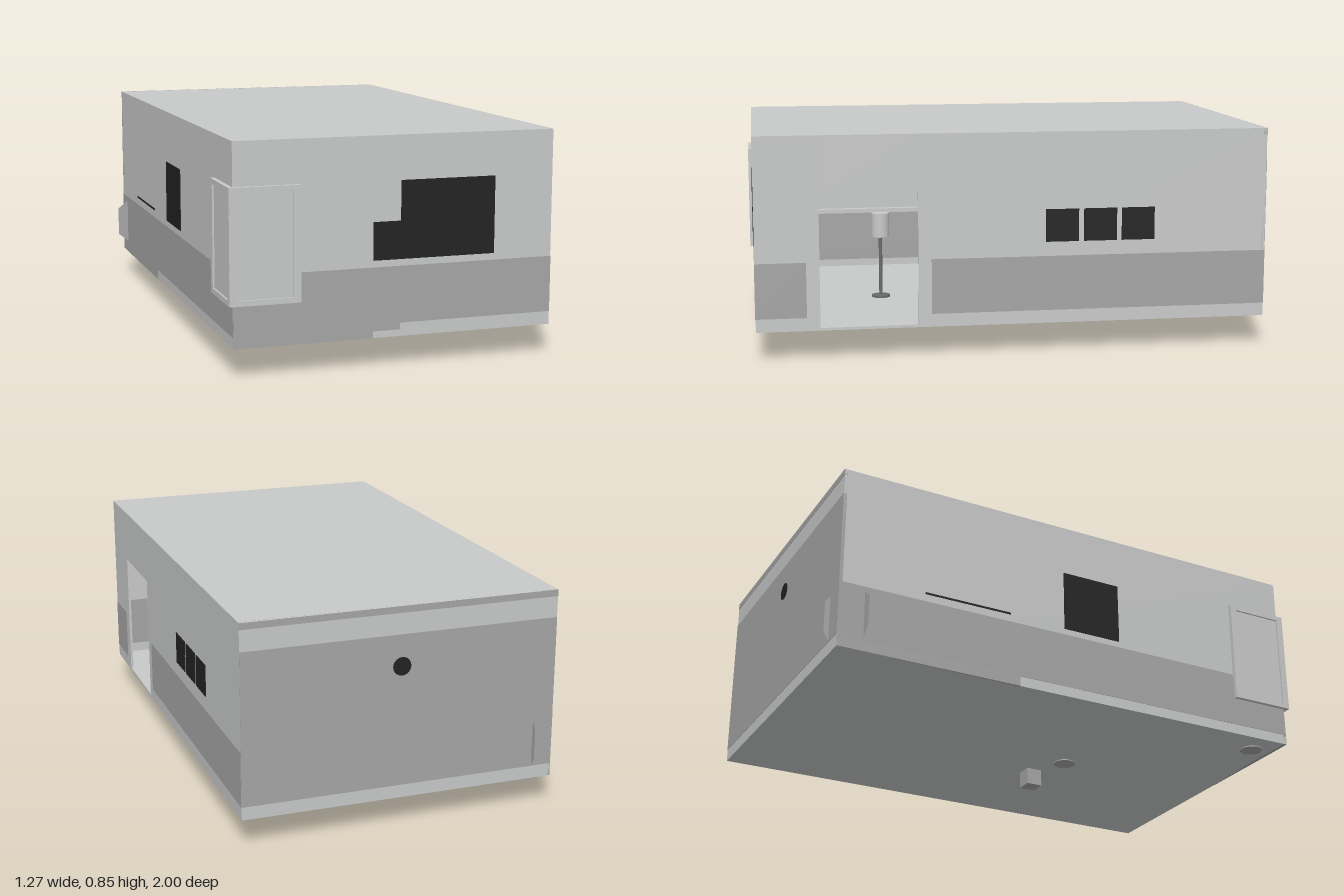
import * as THREE from 'three';

const flat = (name, color) => {
  const m = new THREE.MeshStandardMaterial({ color });
  m.name = name;
  return m;
};

export function createModel() {
  const root = new THREE.Group();
  root.name = 'room';
  const light = flat('light wall', 0xc8cac9);
  const band = flat('grey band', 0xa6a6a6);
  const black = flat('black', 0x222222);
  const dark = flat('dark grey', 0x6a6c6b);
  const fin = flat('bracket grey', 0xa6a6a6);
  fin.side = THREE.DoubleSide;

  const add = (name, geo, mat, x = 0, y = 0, z = 0, parent = root) => {
    const m = new THREE.Mesh(geo, mat);
    m.name = name;
    m.position.set(x, y, z);
    parent.add(m);
    return m;
  };
  // Box given by its limits on each axis
  const box = (name, mat, x0, x1, y0, y1, z0, z1, parent) =>
    add(name, new THREE.BoxGeometry(x1 - x0, y1 - y0, z1 - z0), mat,
      (x0 + x1) / 2, (y0 + y1) / 2, (z0 + z1) / 2, parent);

  const L = -0.59, R = 0.63, F = 0.98, B = -0.98, Y0 = 0.115, Y1 = 0.85, T = 0.01, E = 0.0015;

  // Floor, roof and walls, with a doorway in the right-hand wall
  box('floor', light, L, R, Y0, Y0 + T, B, F);
  box('roof', light, L, R, Y1 - T, Y1, B, F);
  box('frontWall', light, L, R, Y0, Y1, F - T, F);
  box('backWall', light, L, R, Y0, Y1, B, B + T);
  box('leftWall', light, L, L + T, Y0, Y1, B, F);
  box('doorWallFront', light, R - T, R, Y0, Y1, 0.74, F);
  box('doorWallBack', light, R - T, R, Y0, Y1, B, 0.37);
  box('doorLintel', light, R - T, R, 0.635, Y1, 0.37, 0.74);

  // Painted bands, showing on both faces of each wall
  const frontBand = (a, b, y0, y1) => box('frontBand', band, a, b, y0, y1, F - T - E, F + E);
  frontBand(L, R, 0.165, 0.375);
  frontBand(L, 0.035, 0.14, 0.165);
  frontBand(L, -0.07, Y0, 0.14);
  const backBand = (y0, y1) => box('backBand', band, L, R, y0, y1, B - E, B + T + E);
  backBand(0.165, 0.745);
  backBand(0.825, Y1);
  box('leftBand', band, L - E, L + T + E, 0.155, 0.375, B, F);
  box('leftBandLow', band, L - E, L + T, Y0, 0.155, B, -0.245);
  box('rightBandFront', band, R - T - E, R + E, 0.165, 0.375, 0.79, F);
  box('rightBandBack', band, R - T - E, R + E, 0.165, 0.375, B, 0.32);

  // Black windows
  box('frontWindow', black, 0.035, 0.4, 0.4, 0.687, F - T - 0.003, F + 0.003);
  box('frontWindowStep', black, -0.07, 0.035, 0.4, 0.54, F - T - 0.003, F + 0.003);
  box('windowInnerPane', light, -0.05, 0.38, 0.42, 0.53, F - T - 0.006, F - T);
  box('windowInnerPaneTop', light, 0.055, 0.38, 0.53, 0.667, F - T - 0.006, F - T);
  for (const z of [-0.18, -0.328, -0.475])
    box('sideWindow', black, R - T - 0.003, R + 0.003, 0.43, 0.555, z - 0.064, z + 0.064);
  box('leftWindow', black, L - 0.003, L + T + 0.003, 0.4, 0.645, -0.05, 0.195);
  box('leftSlit', black, L - 0.003, L, 0.405, 0.412, -0.64, -0.285);
  const port = add('backPorthole', new THREE.CylinderGeometry(0.035, 0.035, 0.016, 20), black, 0.024, 0.625, B + 0.005);
  port.rotation.x = Math.PI / 2;

  // Framed boards meeting at the front left corner
  const board = (name) => {
    const g = new THREE.Group();
    g.name = name;
    root.add(g);
    const s = new THREE.Shape([[-0.13, 0.27], [0.13, 0.27], [0.13, 0.69], [-0.13, 0.69]].map(p => new THREE.Vector2(...p)));
    s.holes.push(new THREE.Path([[-0.103, 0.29], [-0.103, 0.67], [0.103, 0.67], [0.103, 0.29]].map(p => new THREE.Vector2(...p))));
    add('boardFrame', new THREE.ExtrudeGeometry(s, { depth: 0.017, bevelEnabled: false }), light, 0, 0, 0, g);
    box('boardPanel', light, -0.103, 0.103, 0.29, 0.67, 0, 0.01, g);
    return g;
  };
  board('frontBoard').position.set(-0.475, 0, F);
  const sideBoard = board('sideBoard');
  sideBoard.rotation.y = -Math.PI / 2;
  sideBoard.position.set(L, 0, 0.866);

  // Thin tapered brackets standing out from the walls
  const bracket = (d) => new THREE.ShapeGeometry(new THREE.Shape(
    [[0, 0.165], [0, 0.355], [-d, 0.32], [-d, 0.2]].map(p => new THREE.Vector2(...p))));
  add('leftBracket', bracket(0.045), fin, L, 0, -0.88);
  const backBracket = add('backBracket', bracket(0.022), fin, -0.51, 0, B);
  backBracket.rotation.y = -Math.PI / 2;

  // Block and discs under the floor
  box('underBlock', band, 0.02, 0.085, 0.003, 0.07, 0.113, 0.178);
  for (const [x, z] of [[0.003, 0.28], [-0.479, 0.885]])
    add('underDisc', new THREE.CylinderGeometry(0.045, 0.045, 0.006, 24), band, x, 0.114, z);

  // Ledge, tilted plate and shelves inside
  box('wallLedge', light, L + T, L + T + 0.03, 0.37, 0.388, B + T, F - T);
  const plate = box('tiltedPlate', dark, L + T, L + T + 0.02, 0.505, 0.57, 0.675, 0.725);
  plate.rotation.x = 0.12;
  box('shelfPost', black, 0.487, 0.513, 0.125, 0.525, 0.317, 0.343);
  for (let i = 0; i < 4; i++)
    box('shelf', light, 0.25, 0.49, 0.2 + i * 0.085, 0.212 + i * 0.085, 0.14, 0.33);

  // Round-topped stand
  const turned = (name, r, y0, y1, mat) =>
    add(name, new THREE.CylinderGeometry(r, r, y1 - y0, 24), mat, 0.1, (y0 + y1) / 2, 0.47);
  turned('standBase', 0.037, 0.125, 0.133, dark);
  turned('standPole', 0.007, 0.133, 0.375, dark);
  turned('standShade', 0.036, 0.375, 0.472, light);

  return root;
}
